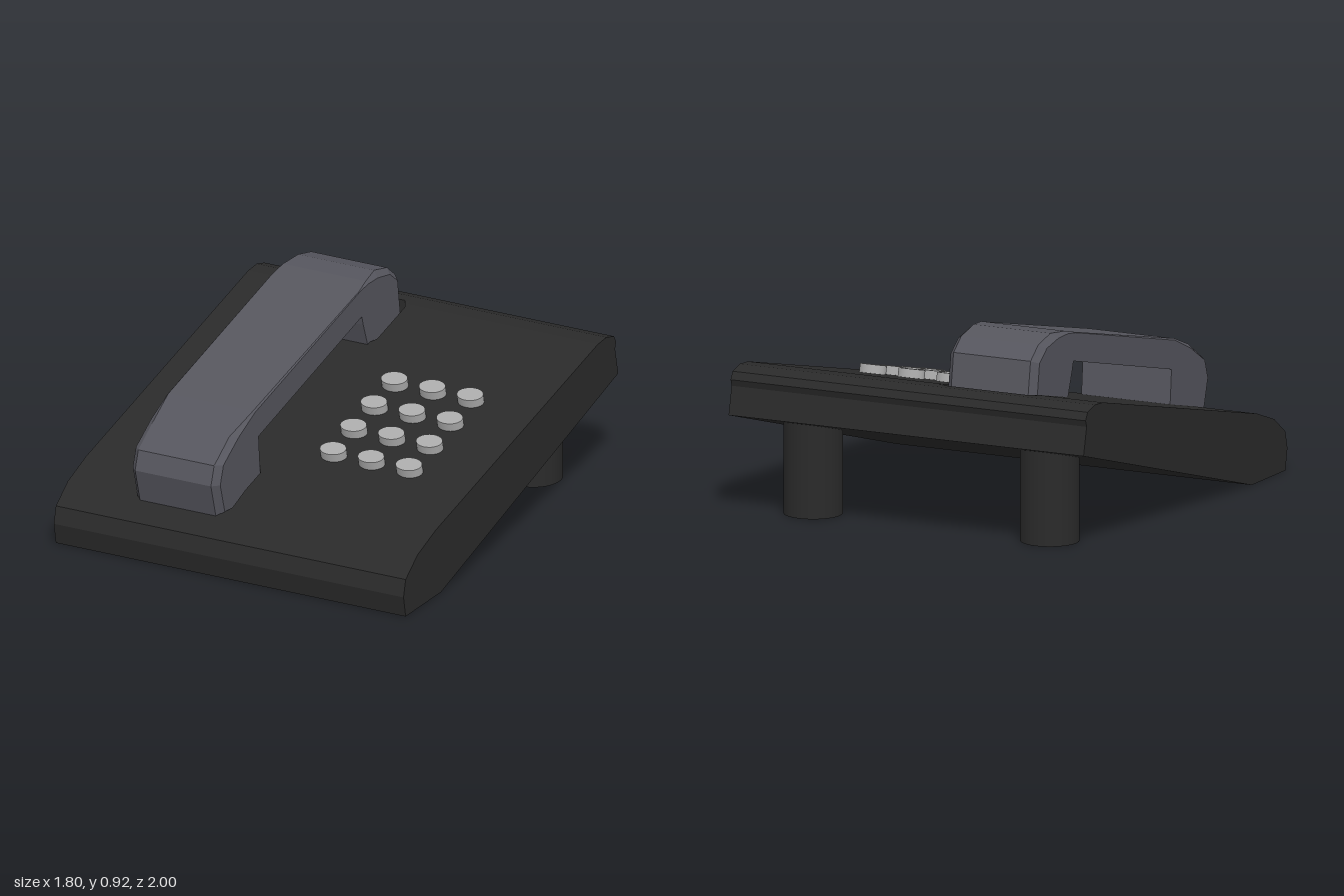
import * as THREE from 'three';
import { ConvexGeometry } from 'three/addons/geometries/ConvexGeometry.js';

const bodyMat = new THREE.MeshStandardMaterial({ color: 0x2a2a2a, flatShading: true });
const legMat = new THREE.MeshStandardMaterial({ color: 0x2a2a2a });
const handsetMat = new THREE.MeshStandardMaterial({ color: 0x55555d, flatShading: true });
const buttonMat = new THREE.MeshStandardMaterial({ color: 0xaaaaaa });

// Upper outline of the body as [z, y], front to back
const TOP = [[1, 0.1], [0.98, 0.18], [0.87, 0.26], [0.7, 0.32], [-0.81, 0.68],
  [-0.89, 0.685], [-0.96, 0.665], [-0.98, 0.63]];
const UNDER = [[-0.97, 0.6], [-1, 0.47], [0.65, 0], [0.98, 0]];
const WELLS = [[0.87, 0.51], [-0.48, -0.84]]; // z ranges of the cradle wells
const WELL_X = [-0.57, -0.08];
const DEPTH = 0.06;
const TILT = Math.atan(0.36 / 1.51);

function surfaceY(z) {
  for (let i = 0; i < TOP.length - 1; i++) {
    const [z0, y0] = TOP[i], [z1, y1] = TOP[i + 1];
    if (z <= z0 && z >= z1) return y0 + (y1 - y0) * (z0 - z) / (z0 - z1);
  }
  return 0;
}

function add(parent, name, geometry, material) {
  const mesh = new THREE.Mesh(geometry, material);
  mesh.name = name;
  parent.add(mesh);
  return mesh;
}

// Extrude a [z, y] outline from x0 to x1
function slab(outline, x0, x1) {
  const shape = new THREE.Shape(outline.map(([z, y]) => new THREE.Vector2(-z, y)));
  return new THREE.ExtrudeGeometry(shape, { depth: x1 - x0, bevelEnabled: false })
    .rotateY(Math.PI / 2).translate(x0, 0, 0);
}

// Outline with both wells cut into the top
function notchedOutline() {
  const points = TOP.filter(([z]) => !WELLS.some(([a, b]) => z <= a && z >= b));
  for (const [a, b] of WELLS) {
    const cut = [[a, surfaceY(a)], [a - 0.001, surfaceY(a) - DEPTH],
      [b + 0.001, surfaceY(b) - DEPTH], [b, surfaceY(b)]];
    const at = points.findIndex(([z]) => z < b);
    points.splice(at, 0, ...cut);
  }
  return [...points, ...UNDER];
}

function buildBody() {
  const body = new THREE.Group();
  body.name = 'body';
  const full = [...TOP, ...UNDER];
  add(body, 'bodyRight', slab(full, -0.9, WELL_X[0]), bodyMat);
  add(body, 'bodyCradle', slab(notchedOutline(), ...WELL_X), bodyMat);
  add(body, 'bodyLeft', slab(full, WELL_X[1], 0.9), bodyMat);
  // Angled corners inside the wells
  for (const [a, b] of WELLS) {
    for (const [z, dz] of [[a, -0.05], [b, 0.05]]) {
      WELL_X.forEach((x, i) => {
        const dx = i ? -0.03 : 0.03;
        const points = [[x, z], [x + dx, z], [x, z + dz]].flatMap(([px, pz]) => [
          new THREE.Vector3(px, surfaceY(pz), pz),
          new THREE.Vector3(px, surfaceY(pz) - DEPTH - 0.01, pz)]);
        add(body, 'wellCorner', new ConvexGeometry(points), bodyMat);
      });
    }
  }
  return body;
}

// Loft of six-sided sections: [outer z, outer y, inner z, inner y, chamfer]
function handsetGeometry() {
  const stations = [
    [0.87, 0.2, 0.52, 0.3, 0.03], [0.93, 0.41, 0.53, 0.4, 0.03],
    [0.9, 0.5, 0.535, 0.46, 0.03], [0.76, 0.59, 0.54, 0.52, 0.03],
    [0.58, 0.655, 0.5, 0.53, 0.008], [-0.4, 0.885, -0.4, 0.75, 0.003],
    [-0.48, 0.905, -0.42, 0.755, 0.012], [-0.59, 0.915, -0.425, 0.745, 0.03],
    [-0.71, 0.885, -0.435, 0.71, 0.03], [-0.785, 0.825, -0.45, 0.67, 0.03],
    [-0.815, 0.63, -0.49, 0.56, 0.03]];
  const cx = -0.325, w = 0.225, n = 6;
  const positions = [], index = [];
  for (const [oz, oy, iz, iy, c] of stations) {
    const t = c * 1.1 / Math.hypot(iz - oz, iy - oy);
    const sz = oz + (iz - oz) * t, sy = oy + (iy - oy) * t;
    positions.push(cx - w, iy, iz, cx + w, iy, iz, cx + w, sy, sz,
      cx + w - c, oy, oz, cx - w + c, oy, oz, cx - w, sy, sz);
  }
  for (let s = 0; s < stations.length - 1; s++) {
    for (let k = 0; k < n; k++) {
      const a = s * n + k, b = s * n + (k + 1) % n;
      index.push(a, a + n, b, b, a + n, b + n);
    }
  }
  const last = (stations.length - 1) * n;
  for (let k = 1; k < n - 1; k++) {
    index.push(0, k, k + 1, last, last + k + 1, last + k);
  }
  const geometry = new THREE.BufferGeometry();
  geometry.setAttribute('position', new THREE.Float32BufferAttribute(positions, 3));
  geometry.setIndex(index);
  const flat = geometry.toNonIndexed();
  flat.computeVertexNormals();
  return flat;
}

export function createModel() {
  const phone = new THREE.Group();
  phone.name = 'deskTelephone';
  phone.add(buildBody());
  add(phone, 'handset', handsetGeometry(), handsetMat);

  // Keypad of slightly oval buttons, tilted with the top
  const keypad = new THREE.Group();
  keypad.name = 'keypad';
  phone.add(keypad);
  const buttonGeo = new THREE.CylinderGeometry(0.063, 0.063, 0.08, 32).scale(1, 1, 0.8);
  for (const z of [-0.235, -0.045, 0.145, 0.335]) {
    for (const x of [0.175, 0.37, 0.565]) {
      const button = add(keypad, 'button', buttonGeo, buttonMat);
      button.position.set(x, surfaceY(z), z);
      button.rotation.x = TILT;
    }
  }

  // Rear legs
  for (const side of [-1, 1]) {
    const leg = add(phone, side > 0 ? 'legLeft' : 'legRight',
      new THREE.CylinderGeometry(0.135, 0.135, 0.46, 32), legMat);
    leg.position.set(0.6 * side, 0.23, -0.75);
  }
  return phone;
}
